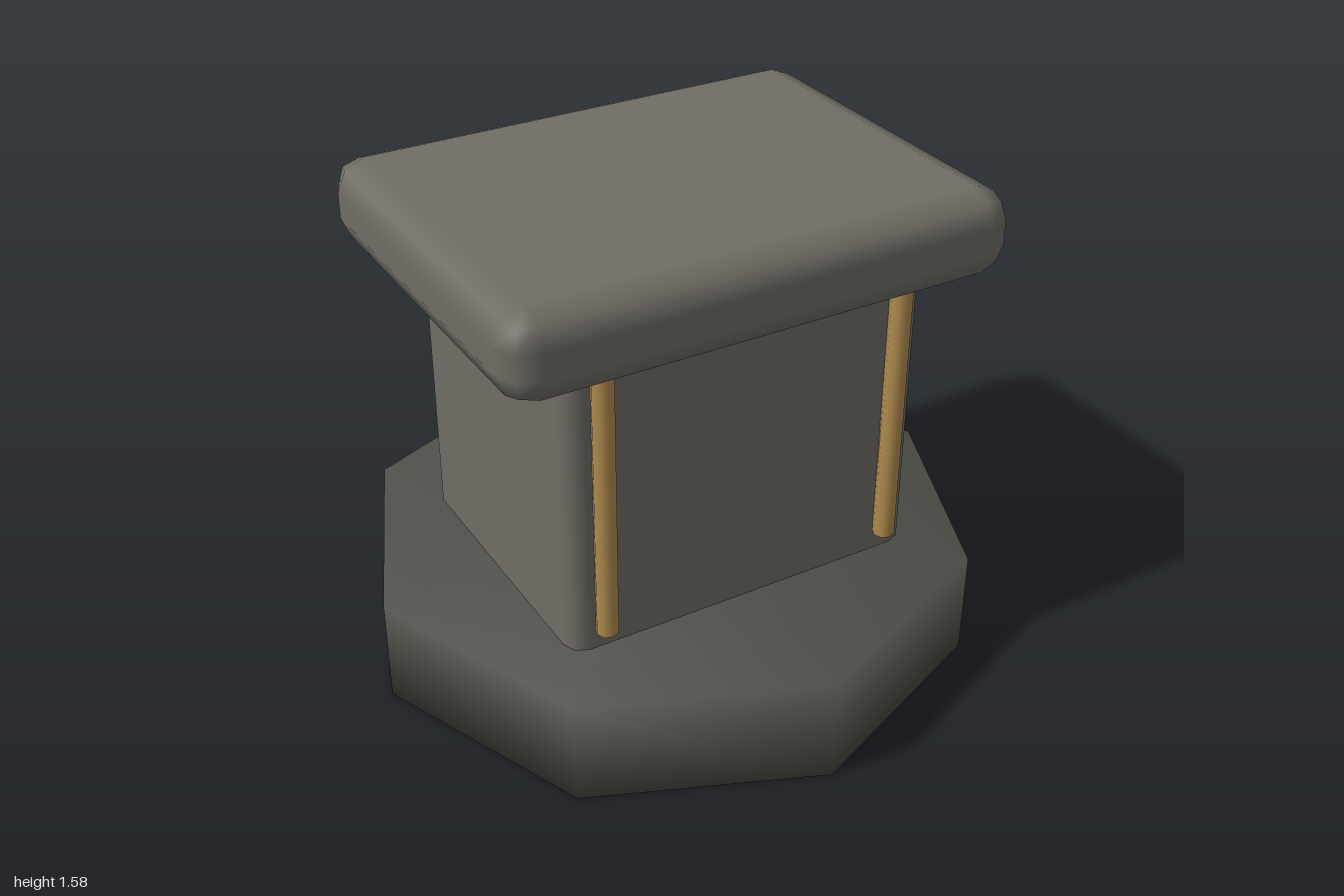
import * as THREE from 'three';

// Box with softly rounded edges: two facets per quarter turn, smooth normals
function softBox(w, h, d, r) {
  const geo = new THREE.BoxGeometry(1, 1, 1, 3, 3, 3);
  const pos = geo.attributes.position, nor = geo.attributes.normal;
  const half = new THREE.Vector3(w / 2 - r, h / 2 - r, d / 2 - r);
  const dir = new THREE.Vector3(), p = new THREE.Vector3();
  const snap = (v) => (Math.abs(v) > 0.4 ? Math.sign(v) : 0);
  for (let i = 0; i < pos.count; i++) {
    p.fromBufferAttribute(pos, i);
    dir.set(snap(p.x), snap(p.y), snap(p.z)).normalize();
    p.set(Math.sign(p.x), Math.sign(p.y), Math.sign(p.z)).multiply(half).addScaledVector(dir, r);
    pos.setXYZ(i, p.x, p.y, p.z);
    nor.setXYZ(i, dir.x, dir.y, dir.z);
  }
  return geo;
}

export function createModel() {
  const model = new THREE.Group();
  model.name = 'pedestal';

  const material = (name, color) => {
    const m = new THREE.MeshStandardMaterial({ color });
    m.name = name;
    return m;
  };
  const stone = material('warm grey stone', 0x706d65);
  const darkStone = material('dark stone', 0x4e4f48);
  const brass = material('aged brass', 0xb08c4e);

  const add = (name, geo, mat, x, y, z) => {
    const mesh = new THREE.Mesh(geo, mat);
    mesh.name = name;
    mesh.position.set(x, y, z);
    model.add(mesh);
  };

  // Eight-sided base disc, softly shaded from cap to rim
  const profile = [[0, 0], [1, 0], [1, 0.35], [0, 0.35]].map(([x, y]) => new THREE.Vector2(x, y));
  add('base', new THREE.LatheGeometry(profile, 8), darkStone, 0, 0, 0);

  // Block and overhanging top slab
  add('body', softBox(1.21, 1.05, 1.0, 0.06), stone, 0, 0.805, 0);
  add('topSlab', softBox(1.65, 0.28, 1.28, 0.1), stone, 0, 1.44, 0);

  // Slim rods on the front face
  for (const side of [-1, 1]) {
    add(side > 0 ? 'leftRod' : 'rightRod',
      new THREE.CylinderGeometry(0.035, 0.035, 0.9, 8), brass, side * 0.5, 0.87, 0.525);
  }
  return model;
}
